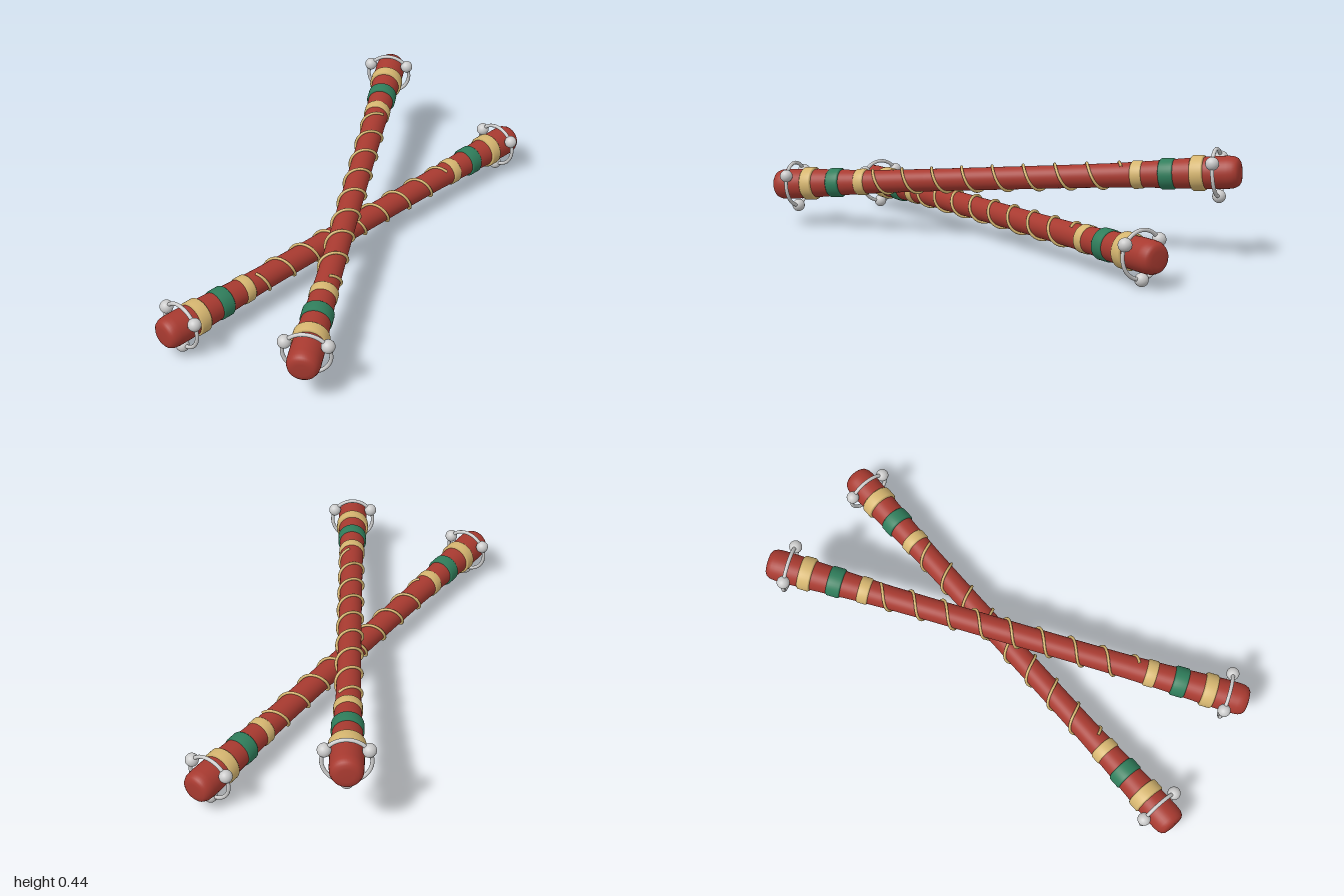
import * as THREE from 'three';

const mat = (color) => new THREE.MeshStandardMaterial({ color });
const red = mat(0xa83a30), cream = mat(0xd6b670), green = mat(0x2f7d5b), grey = mat(0xcccccc);

// Surface turned around the x axis from [x, radius] points
function turned(name, points, material) {
  const geo = new THREE.LatheGeometry(points.map(([x, r]) => new THREE.Vector2(r, x)), 40);
  geo.rotateZ(-Math.PI / 2);
  const mesh = new THREE.Mesh(geo, material);
  mesh.name = name;
  return mesh;
}

// Helix wound around the x axis
class Helix extends THREE.Curve {
  constructor(radius, half, pitch) {
    super();
    Object.assign(this, { radius, half, pitch });
  }
  getPoint(u, target = new THREE.Vector3()) {
    const x = -this.half + 2 * this.half * u;
    const a = ((x + 0.01) / this.pitch) * Math.PI * 2;
    return target.set(x, Math.cos(a) * this.radius, Math.sin(a) * this.radius);
  }
}

// Raised band with softened edges
function band(name, x, width, radius, material) {
  const h = width / 2;
  return turned(name, [
    [x - h, 0.04], [x - h, radius - 0.005], [x - h + 0.006, radius],
    [x + h - 0.006, radius], [x + h, radius - 0.005], [x + h, 0.04],
  ], material);
}

// Wire hoop carrying three beads
function beadedRing(x) {
  const group = new THREE.Group();
  group.name = 'beadedRing';
  const ring = new THREE.Mesh(new THREE.TorusGeometry(0.09, 0.0075, 12, 56), grey);
  ring.name = 'ring';
  ring.rotation.y = Math.PI / 2;
  group.add(ring);
  for (const deg of [-90, 30, 150]) {
    const a = THREE.MathUtils.degToRad(deg);
    const bead = new THREE.Mesh(new THREE.SphereGeometry(0.026, 24, 16), grey);
    bead.name = 'bead';
    bead.position.set(0, Math.sin(a) * 0.092, Math.cos(a) * 0.092);
    group.add(bead);
  }
  group.position.x = x;
  return group;
}

function stick(name) {
  const group = new THREE.Group();
  group.name = name;

  // Shaft: slim in the middle, flared towards rounded ends
  const half = [
    [0, 0.046], [0.3, 0.046], [0.5, 0.0475], [0.65, 0.052], [0.8, 0.059], [0.9, 0.063],
    [0.955, 0.063], [0.975, 0.061], [0.99, 0.054], [0.997, 0.044], [1, 0.028], [1, 0],
  ];
  const mirrored = half.slice(1).reverse().map(([x, r]) => [-x, r]);
  group.add(turned('shaft', [...mirrored, ...half], red));

  // Bands and beaded rings at both ends
  for (const s of [-1, 1]) {
    group.add(
      band('innerBand', s * 0.597, 0.046, 0.055, cream),
      band('middleBand', s * 0.717, 0.058, 0.061, green),
      band('outerBand', s * 0.838, 0.052, 0.069, cream),
      beadedRing(s * 0.91),
    );
  }

  // Cord wrapped around the grip
  const cord = new THREE.Mesh(
    new THREE.TubeGeometry(new Helix(0.051, 0.54, 0.1335), 320, 0.0058, 8), cream);
  cord.name = 'cord';
  group.add(cord);
  return group;
}

export function createModel() {
  const model = new THREE.Group();
  model.name = 'crossedSticks';

  const lower = stick('lowerStick');
  lower.position.y = 0.119;

  // Second stick lies across the first, slightly tilted
  const upper = stick('upperStick');
  upper.position.y = 0.262;
  upper.rotation.set(0, THREE.MathUtils.degToRad(34), THREE.MathUtils.degToRad(5.1), 'YXZ');

  model.add(lower, upper);
  return model;
}
